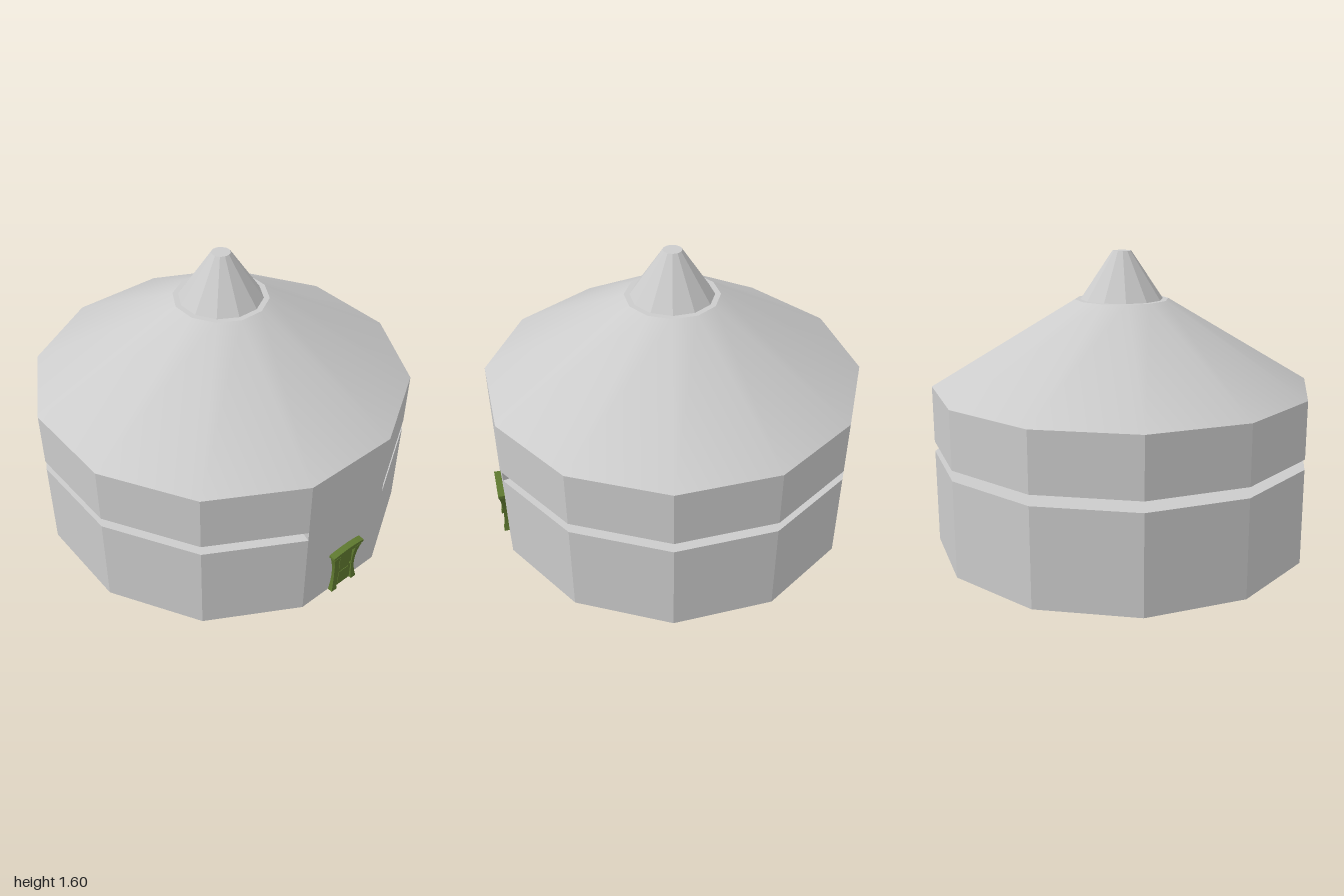
import * as THREE from 'three';

const SIDES = 12;
const TURN = THREE.MathUtils.degToRad(15.8); // direction of the first wall corner, from +x toward +z
const CENTRE_X = -0.018;
const WALL_R = 1.018;
const CORE_R = 0.675;

const grey = new THREE.MeshStandardMaterial({ color: 0xcccccc, flatShading: true });
const greySmooth = new THREE.MeshStandardMaterial({ color: 0xcccccc });
const green = new THREE.MeshStandardMaterial({ color: 0x5e782f, flatShading: true });

// Twelve-sided section between two heights
function drum(name, rBottom, rTop, y0, y1, material = grey) {
  const mesh = new THREE.Mesh(new THREE.CylinderGeometry(rTop, rBottom, y1 - y0, SIDES), material);
  mesh.position.y = (y0 + y1) / 2;
  mesh.rotation.y = -TURN;
  mesh.name = name;
  return mesh;
}

function box(name, w, h, d, x, y, z) {
  const mesh = new THREE.Mesh(new THREE.BoxGeometry(w, h, d), green);
  mesh.position.set(x, y, z);
  mesh.name = name;
  return mesh;
}

// Solid wedge that closes the groove above the door
function grooveBlock(y0, y1) {
  const at = (r, a) => new THREE.Vector2(r * Math.cos(a), r * Math.sin(a));
  const a0 = TURN - Math.PI / 6;
  const shape = new THREE.Shape([at(CORE_R, a0), at(WALL_R, a0), at(WALL_R, TURN), at(CORE_R, TURN)]);
  const geometry = new THREE.ExtrudeGeometry(shape, { depth: y1 - y0, bevelEnabled: false });
  geometry.rotateX(Math.PI / 2);
  const mesh = new THREE.Mesh(geometry, grey);
  mesh.position.y = y1;
  mesh.name = 'grooveBlock';
  return mesh;
}

// Door post, waisted at mid height both sideways and outwards
function doorPost(side) {
  const h = 0.255;
  const geometry = new THREE.BoxGeometry(1, h, 1, 1, 10, 1);
  const p = geometry.attributes.position;
  for (let i = 0; i < p.count; i++) {
    const t = p.getY(i) / h + 0.5;
    const flare = (2 * t - 0.9) ** 2;
    const outer = p.getZ(i) * side > 0;
    p.setX(i, p.getX(i) > 0 ? 0.018 + 0.013 * flare : -0.01);
    p.setZ(i, side * (outer ? 0.075 + 0.019 * flare : 0.055));
  }
  const mesh = new THREE.Mesh(geometry, green);
  mesh.position.y = h / 2;
  mesh.name = side > 0 ? 'frontDoorPost' : 'backDoorPost';
  return mesh;
}

// Doorway, built facing +x with its sill at y = 0
function doorway() {
  const door = new THREE.Group();
  door.name = 'doorway';
  door.add(doorPost(1), doorPost(-1));
  door.add(box('doorLeaf', 0.022, 0.25, 0.112, 0.001, 0.125, 0));
  for (const [y, h] of [[0.06, 0.085], [0.185, 0.1]]) {
    door.add(box('doorPanel', 0.006, h, 0.07, 0.012, y, 0));
  }
  // Stepped lintel with a low peak
  door.add(box('lintelLower', 0.042, 0.014, 0.196, 0.011, 0.257, 0));
  door.add(box('lintelUpper', 0.048, 0.014, 0.216, 0.012, 0.270, 0));
  const crown = new THREE.Shape();
  crown.moveTo(-0.108, 0);
  crown.lineTo(0.108, 0);
  crown.quadraticCurveTo(0, 0.017, -0.108, 0);
  const crownGeometry = new THREE.ExtrudeGeometry(crown, { depth: 0.048, bevelEnabled: false, curveSegments: 6 });
  crownGeometry.rotateY(Math.PI / 2);
  const crownMesh = new THREE.Mesh(crownGeometry, green);
  crownMesh.position.set(-0.012, 0.277, 0);
  crownMesh.name = 'lintelCrown';
  door.add(crownMesh);
  // Handle
  const knob = new THREE.Mesh(new THREE.SphereGeometry(0.006, 8, 6), green);
  knob.position.set(0.017, 0.125, -0.044);
  knob.name = 'doorHandle';
  door.add(knob);
  return door;
}

export function createModel() {
  const model = new THREE.Group();
  model.name = 'roundTower';
  const tower = new THREE.Group();
  tower.name = 'tower';
  tower.position.x = CENTRE_X;
  model.add(tower);

  // Walls, with a deep groove between the two drums
  tower.add(drum('lowerWall', WALL_R, WALL_R, 0.02, 0.53));
  tower.add(drum('grooveCore', CORE_R, CORE_R, 0.53, 0.585));
  tower.add(grooveBlock(0.53, 0.585));
  tower.add(drum('upperWall', WALL_R, WALL_R, 0.585, 0.89));

  // Roof and spire
  tower.add(drum('roof', WALL_R, 0.25, 0.89, 1.347, greySmooth));
  tower.add(drum('spire', 0.22, 0.05, 1.347, 1.6));

  // Doorway on the +x wall face
  const faceAngle = TURN - Math.PI / 12;
  const apothem = WALL_R * Math.cos(Math.PI / 12);
  const door = doorway();
  door.position.set(apothem * Math.cos(faceAngle), 0.02, 0);
  door.rotation.y = -faceAngle;
  tower.add(door);

  // Small stones under the floor
  const stones = [[-0.62, 0.3], [0.75, 0.02], [0.75, -0.02], [0.3, -0.33], [-0.2, 0.4], [-0.3, -0.45]];
  for (const [x, z] of stones) {
    const stone = new THREE.Mesh(new THREE.CylinderGeometry(0.025, 0.006, 0.02, 5), grey);
    stone.position.set(x, 0.01, z);
    stone.name = 'footStone';
    model.add(stone);
  }
  return model;
}
